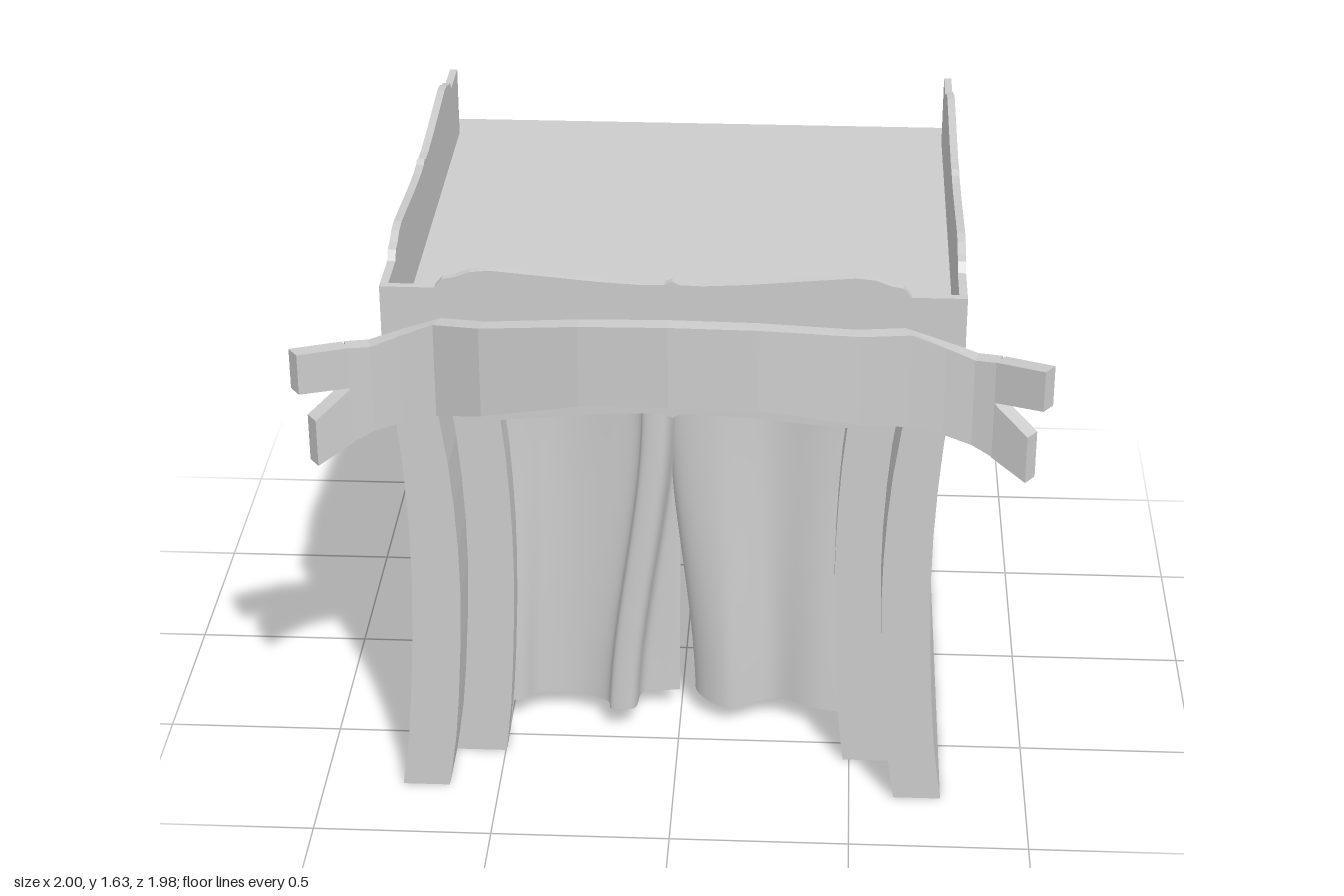
import * as THREE from 'three';

const cloth = () => new THREE.MeshStandardMaterial({ color: 0xcccccc, side: THREE.DoubleSide });
const flat = () => new THREE.MeshStandardMaterial({ color: 0xcccccc, side: THREE.DoubleSide, flatShading: true });

function add(parent, name, geometry, material) {
  const m = new THREE.Mesh(geometry, material);
  m.name = name;
  parent.add(m);
  return m;
}

// Grid of rows of [x, y, z] points joined into one surface; closed rows get end caps
function surface(rows, closed = false) {
  const n = rows[0].length, index = [];
  for (let r = 0; r < rows.length - 1; r++) {
    for (let c = 0; c < (closed ? n : n - 1); c++) {
      const a = r * n + c, b = r * n + (c + 1) % n;
      index.push(a, a + n, b, b, a + n, b + n);
    }
  }
  if (closed) {
    const e = (rows.length - 1) * n;
    for (let c = 1; c < n - 1; c++) index.push(0, c, c + 1, e, e + c + 1, e + c);
  }
  const g = new THREE.BufferGeometry();
  g.setAttribute('position', new THREE.Float32BufferAttribute(rows.flat(2), 3));
  g.setIndex(index);
  g.computeVertexNormals();
  return g;
}

// Waisted arch outline, from the foot at -x over the top to the foot at +x
const waist = new THREE.SplineCurve([[0, 0], [0.25, -0.031], [0.7, -0.053], [1.08, -0.04], [1.37, -0.006]]
  .map(([y, d]) => new THREE.Vector2(y, d)));
function arch(half, top, waistScale = 1) {
  const side = [];
  for (let i = 0; i <= 10; i++) {
    const p = waist.getPoint(i / 10);
    side.push([half + p.y * waistScale, p.x / 1.37 * top]);
  }
  return [...side.map(([x, y]) => [-x, y]), ...side.reverse()];
}

const tunnel = (outline, z0, z1) =>
  surface([outline.map(([x, y]) => [x, y, z0]), outline.map(([x, y]) => [x, y, z1])]);

function frame(outer, inner, z) {
  const pts = [...outer, ...[...inner].reverse()].map(([x, y]) => new THREE.Vector2(x, y));
  return new THREE.ShapeGeometry(new THREE.Shape(pts)).translate(0, 0, z);
}

// Scalloped board; the lower edge mirrors the upper one
function board(half) {
  const edge = [[half, 1.58], [0.625, 1.58], [0.605, 1.605], [0.57, 1.612], [0.53, 1.627], [0.48, 1.632],
    [0.4, 1.625], [0.2, 1.607], [0.08, 1.6], [0.02, 1.602], [0, 1.612]];
  const top = [...edge, ...edge.slice(0, -1).reverse().map(([x, y]) => [-x, y])];
  const low = [...top].reverse().map(([x, y]) => [x, 2.822 - y]);
  const s = new THREE.Shape([...top, ...low].map(([x, y]) => new THREE.Vector2(x, y)));
  return new THREE.ExtrudeGeometry(s, { depth: 0.022, bevelEnabled: false }).translate(0, 0, -0.011);
}

// Hanging cloth: plan curve at the top blends late to another at the hem
function curtain(top, hem, yTop, yHem, bulge = () => 0) {
  const curve = pts => new THREE.CatmullRomCurve3(pts.map(([x, z]) => new THREE.Vector3(x, 0, z)), false, 'centripetal');
  const a = curve(top), b = curve(hem), rows = [], cols = 56, steps = 20;
  for (let r = 0; r <= steps; r++) {
    const t = r / steps, k = THREE.MathUtils.smoothstep(t, 0.15, 1.05), row = [];
    for (let c = 0; c <= cols; c++) {
      // getPoint keeps the matching folds of both curves together
      const u = c / cols;
      const p = a.getPoint(u).lerp(b.getPoint(u), k);
      const ripple = 0.01 * Math.sin(u * 11) * t;
      row.push([p.x, yTop + (yHem + ripple - yTop) * t, p.z + bulge(u, t)]);
    }
    rows.push(row);
  }
  return surface(rows);
}

// Solid strip of sections [x, z, yTop, yBottom] with constant thickness
function strip(sections) {
  const h = 0.023;
  return surface(sections.map(([x, z, t, b], i) => {
    const p = sections[Math.max(0, i - 1)], q = sections[Math.min(sections.length - 1, i + 1)];
    const dx = q[0] - p[0], dz = q[1] - p[1], l = Math.hypot(dx, dz);
    const nx = -dz / l * h, nz = dx / l * h;
    return [[x + nx, t, z + nz], [x - nx, t, z - nz], [x - nx, b, z - nz], [x + nx, b, z + nz]];
  }), true);
}

export function createModel() {
  const model = new THREE.Group();

  // Nested shells with open backs, stepped frames at the front
  const body = new THREE.Group();
  body.name = 'body';
  body.position.x = -0.008;
  model.add(body);
  const outer = arch(0.768, 1.37), inner = arch(0.635, 1.243), door = arch(0.49, 1.17, 0.7);
  add(body, 'outerShell', tunnel(outer, -0.905, 0.768), flat());
  add(body, 'innerShell', tunnel(inner, -0.905, 0.768), flat());
  add(body, 'frontFrame', frame(outer, inner, 0.768), flat());
  add(body, 'innerFrame', frame(inner, door, 0.585), flat());
  add(body, 'doorReturn', tunnel(door, 0.49, 0.585), flat());

  // Boards around the roof
  add(model, 'frontBoard', board(0.77), flat()).position.z = 0.764;
  for (const s of [1, -1]) {
    const b = add(model, s > 0 ? 'leftBoard' : 'rightBoard', board(0.782), flat());
    b.rotation.y = Math.PI / 2;
    b.position.set(s * 0.76, 0, -0.008);
  }

  // Front curtains; the right one has a boxed fold beside the gap
  add(model, 'frontCurtainRight', curtain(
    [[-0.67, 0.4], [-0.48, 0.4], [-0.36, 0.35], [-0.2, 0.37], [-0.11, 0.4], [-0.1, 0.46], [-0.035, 0.46], [-0.01, 0.35], [0, 0.33]],
    [[-0.67, 0.41], [-0.47, 0.43], [-0.42, 0.38], [-0.3, 0.36], [-0.215, 0.4], [-0.2, 0.46], [-0.135, 0.46], [-0.11, 0.35], [-0.005, 0.32]],
    1.24, 0.065), cloth());
  add(model, 'frontCurtainLeft', curtain(
    [[-0.04, 0.26], [-0.03, 0.36], [0.1, 0.39], [0.25, 0.35], [0.42, 0.39], [0.67, 0.4]],
    [[0.045, 0.25], [0.05, 0.35], [0.14, 0.41], [0.27, 0.37], [0.4, 0.42], [0.67, 0.42]],
    1.24, 0.06), cloth());

  // Back curtains; they meet in a long fold at the centre
  const billow = (w, t) => -0.075 * w ** 3 * Math.sin(Math.PI * t ** 1.6);
  add(model, 'backCurtainLeft', curtain(
    [[0.735, -0.55], [0.5, -0.6], [0.3, -0.59], [0.15, -0.64], [0.05, -0.76], [0.03, -0.8], [0, -0.9]],
    [[0.73, -0.7], [0.5, -0.72], [0.32, -0.68], [0.16, -0.75], [0.055, -0.88], [0.03, -0.84], [0, -0.925]],
    1.24, 0.07, billow), cloth());
  add(model, 'backCurtainRight', curtain(
    [[0, -0.9], [-0.015, -0.8], [0.02, -0.7], [-0.15, -0.6], [-0.35, -0.58], [-0.5, -0.6], [-0.68, -0.56]],
    [[0, -0.925], [-0.015, -0.82], [0.02, -0.72], [-0.18, -0.64], [-0.36, -0.66], [-0.5, -0.7], [-0.68, -0.7]],
    1.24, 0.08, (u, t) => billow(1 - u, t)), cloth());

  // Blank ribbon across the front with forked tails
  const ribbon = new THREE.Group();
  ribbon.name = 'ribbon';
  model.add(ribbon);
  const half = [[0.23, 0.943, 1.568, 1.337], [0.49, 0.88, 1.525, 1.268], [0.62, 0.797, 1.492, 1.222],
    [0.72, 0.793, 1.455, 1.2], [0.8, 0.8, 1.425, 1.175], [0.86, 0.822, 1.43, 1.15]];
  const flip = ([x, ...rest]) => [-x, ...rest];
  add(ribbon, 'ribbonBand', strip([...[...half].reverse().map(flip), [0, 0.966, 1.582, 1.352], ...half]), flat());
  const prongs = {
    upperTail: [[0.86, 0.822, 1.43, 1.312], [0.985, 0.912, 1.45, 1.335]],
    lowerTail: [[0.86, 0.822, 1.312, 1.15], [0.95, 0.888, 1.245, 1.11]],
  };
  for (const [name, p] of Object.entries(prongs)) {
    add(ribbon, name + 'Left', strip(p), flat());
    add(ribbon, name + 'Right', strip([...p].reverse().map(flip)), flat());
  }
  return model;
}
